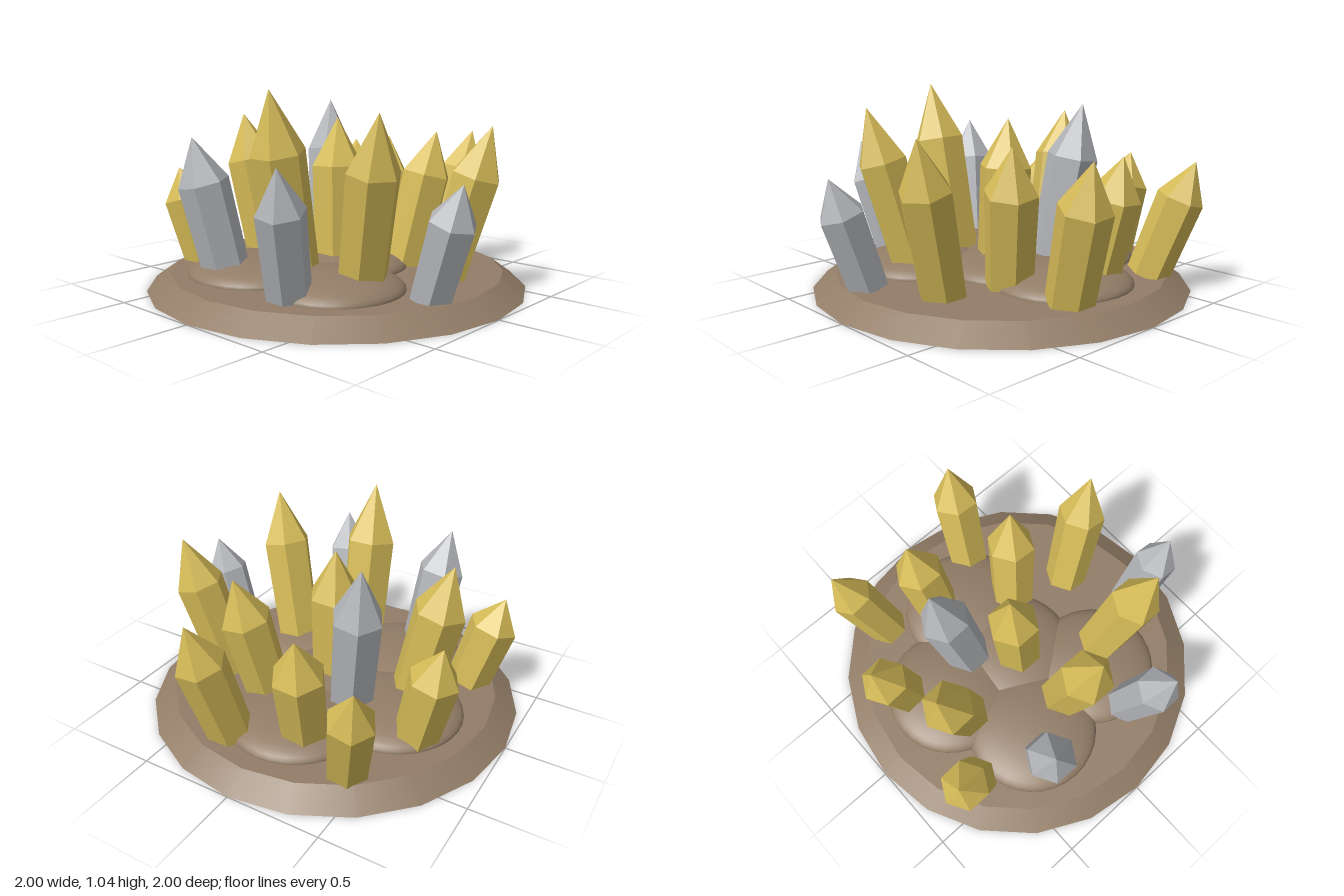
import * as THREE from 'three';
import { mergeGeometries } from 'three/addons/utils/BufferGeometryUtils.js';

const soil = new THREE.MeshStandardMaterial({ color: 0x927d67 });
soil.name = 'soil brown';
const gold = new THREE.MeshStandardMaterial({ color: 0xd6bc58 });
gold.name = 'gold';
const silver = new THREE.MeshStandardMaterial({ color: 0xb4b6ba });
silver.name = 'silver';

const GROUND = 0.085; // top of the base disc

// Six-sided shard: slightly flared shaft with a pointed tip, flat faces
function shardGeometry(length, radius) {
  const shoulder = length * 0.68;
  const shaft = new THREE.CylinderGeometry(radius, radius * 0.92, shoulder, 6, 1, true);
  shaft.translate(0, shoulder / 2, 0);
  const tip = new THREE.ConeGeometry(radius, length - shoulder, 6, 1, true);
  tip.translate(0, (length + shoulder) / 2, 0);
  const cap = new THREE.CircleGeometry(radius * 0.92, 6, Math.PI / 2);
  cap.rotateX(Math.PI / 2);
  const geometry = mergeGeometries([shaft, tip, cap]).toNonIndexed();
  geometry.computeVertexNormals();
  return geometry;
}

// Stands a shard at (x, z), leaning so that its point lands on the given tip
function addShard(group, name, material, radius, [x, z], tip) {
  const foot = new THREE.Vector3(x, GROUND, z);
  const axis = new THREE.Vector3(...tip).sub(foot);
  const mesh = new THREE.Mesh(shardGeometry(axis.length(), radius), material);
  mesh.position.copy(foot);
  mesh.quaternion.setFromUnitVectors(new THREE.Vector3(0, 1, 0), axis.normalize());
  mesh.name = name;
  group.add(mesh);
}

export function createModel() {
  const model = new THREE.Group();
  model.name = 'crystalCluster';

  // Bevelled ground disc
  const base = new THREE.Mesh(new THREE.CylinderGeometry(0.88, 1, GROUND, 20), soil);
  base.position.y = GROUND / 2;
  base.name = 'groundDisc';
  model.add(base);

  // Low overlapping mounds: x, z, radius
  const mounds = [
    [0.05, 0, 0.35], [0.1, -0.42, 0.36], [-0.37, -0.22, 0.36],
    [0.42, -0.02, 0.365], [-0.33, 0.29, 0.345],
  ];
  for (const [x, z, r] of mounds) {
    const dome = new THREE.SphereGeometry(1, 32, 10, 0, Math.PI * 2, 0, Math.PI / 2);
    const mound = new THREE.Mesh(dome, soil);
    mound.scale.set(r, 0.092, r);
    mound.position.set(x, GROUND, z);
    mound.name = 'mound';
    model.add(mound);
  }

  // Gold crystals: radius, foot [x, z], tip [x, y, z]
  const golds = [
    [0.14, [-0.34, 0.03], [-0.53, 1.04, 0.05]],
    [0.135, [-0.25, 0.39], [-0.37, 0.945, 0.59]],
    [0.14, [-0.07, -0.44], [-0.11, 0.88, -0.61]],
    [0.14, [0, 0.01], [0.03, 0.88, -0.02]],
    [0.13, [0.19, 0.56], [0.28, 0.86, 0.77]],
    [0.135, [0.3, 0.23], [0.43, 0.8, 0.335]],
    [0.135, [0.53, -0.14], [0.67, 0.73, -0.18]],
    [0.13, [0.68, 0.21], [0.87, 0.775, 0.28]],
    [0.12, [0.64, -0.44], [0.82, 0.68, -0.57]],
    [0.13, [0.25, -0.61], [0.28, 0.66, -0.74]],
    [0.13, [-0.37, -0.64], [-0.44, 0.59, -0.78]],
  ];
  for (const [r, foot, tip] of golds) addShard(model, 'goldCrystal', gold, r, foot, tip);

  // Silver crystals
  const silvers = [
    [0.13, [-0.53, -0.27], [-0.67, 0.8, -0.36]],
    [0.135, [0.18, -0.2], [0.29, 0.955, -0.31]],
    [0.12, [-0.61, 0.26], [-0.78, 0.72, 0.36]],
    [0.118, [-0.17, 0.74], [-0.2, 0.64, 0.925]],
  ];
  for (const [r, foot, tip] of silvers) addShard(model, 'silverCrystal', silver, r, foot, tip);

  return model;
}
